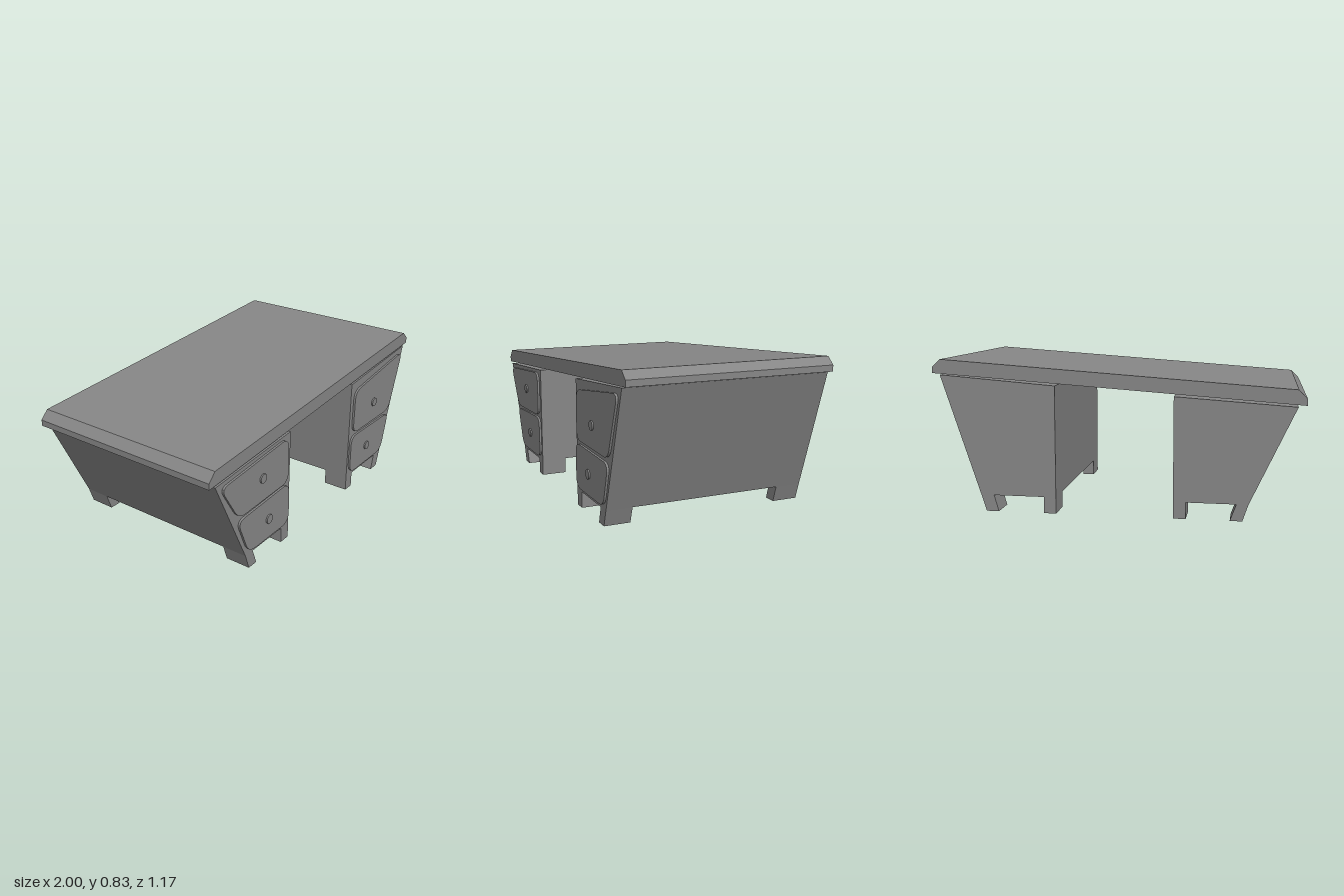
import * as THREE from 'three';

const FRONT = 0.565, BACK = -0.585;
const GREY = 0x868686;
const material = new THREE.MeshStandardMaterial({ color: GREY, flatShading: true });
const smooth = new THREE.MeshStandardMaterial({ color: GREY });

const polygon = (pts) => new THREE.Shape(pts.map(([x, y]) => new THREE.Vector2(x, y)));

// Polygon with each corner replaced by a curve
function roundedPolygon(pts, r) {
  const shape = new THREE.Shape();
  const v = pts.map(([x, y]) => new THREE.Vector2(x, y));
  v.forEach((p, i) => {
    const prev = v[(i + v.length - 1) % v.length], next = v[(i + 1) % v.length];
    const a = p.clone().add(prev.clone().sub(p).setLength(r));
    const b = p.clone().add(next.clone().sub(p).setLength(r));
    if (i === 0) shape.moveTo(a.x, a.y);
    else shape.lineTo(a.x, a.y);
    shape.quadraticCurveTo(p.x, p.y, b.x, b.y);
  });
  shape.closePath();
  return shape;
}

// Extrude a front-facing outline between two depths
function slab(name, shape, z0, z1) {
  const geo = new THREE.ExtrudeGeometry(shape, { depth: z1 - z0, bevelEnabled: false, curveSegments: 6 });
  geo.translate(0, 0, z0);
  const mesh = new THREE.Mesh(geo, material);
  mesh.name = name;
  return mesh;
}

// Outlines per pedestal; the desk is taller on its left (+x)
const pedestals = [
  {
    name: 'rightPedestal',
    body: [[-0.713, 0.09], [-0.317, 0.09], [-0.317, 0.652], [-0.955, 0.61]],
    legs: [
      [[-0.683, 0], [-0.617, 0], [-0.65, 0.09], [-0.713, 0.09]],
      [[-0.385, 0], [-0.317, 0], [-0.317, 0.09], [-0.385, 0.09]],
    ],
    drawers: [
      { outline: [[-0.785, 0.358], [-0.343, 0.37], [-0.35, 0.632], [-0.925, 0.588]], knob: [-0.583, 0.497] },
      { outline: [[-0.7, 0.11], [-0.331, 0.11], [-0.335, 0.357], [-0.793, 0.338]], knob: [-0.523, 0.226] },
    ],
  },
  {
    name: 'leftPedestal',
    body: [[0.32, 0.09], [0.74, 0.09], [0.957, 0.747], [0.32, 0.697]],
    legs: [
      [[0.32, 0], [0.387, 0], [0.387, 0.09], [0.32, 0.09]],
      [[0.642, 0], [0.711, 0], [0.74, 0.09], [0.668, 0.09]],
    ],
    drawers: [
      { outline: [[0.35, 0.375], [0.8, 0.37], [0.927, 0.717], [0.353, 0.645]], knob: [0.587, 0.497] },
      { outline: [[0.338, 0.11], [0.732, 0.11], [0.8, 0.345], [0.335, 0.355]], knob: [0.527, 0.226] },
    ],
  },
];

export function createModel() {
  const desk = new THREE.Group();
  desk.name = 'desk';

  // Sloping top with chamfered side edges
  desk.add(slab('deskTop', polygon([
    [-1, 0.618], [1, 0.756], [1, 0.79], [0.955, 0.831], [-0.955, 0.699], [-1, 0.652],
  ]), BACK, FRONT));

  for (const p of pedestals) {
    const group = new THREE.Group();
    group.name = p.name;
    group.add(slab('cabinet', polygon(p.body), BACK, FRONT));

    // Two legs at the front and two at the back
    for (const leg of p.legs) {
      group.add(slab('frontLeg', polygon(leg), 0.42, FRONT));
      group.add(slab('backLeg', polygon(leg), BACK, -0.437));
    }

    // Raised drawer fronts with round knobs
    for (const d of p.drawers) {
      group.add(slab('drawerFront', roundedPolygon(d.outline, 0.06), FRONT - 0.002, 0.577));
      const knob = new THREE.Mesh(new THREE.CylinderGeometry(0.026, 0.026, 0.012, 20), smooth);
      knob.name = 'drawerKnob';
      knob.rotation.x = Math.PI / 2;
      knob.position.set(d.knob[0], d.knob[1], 0.579);
      group.add(knob);
    }
    desk.add(group);
  }
  return desk;
}
